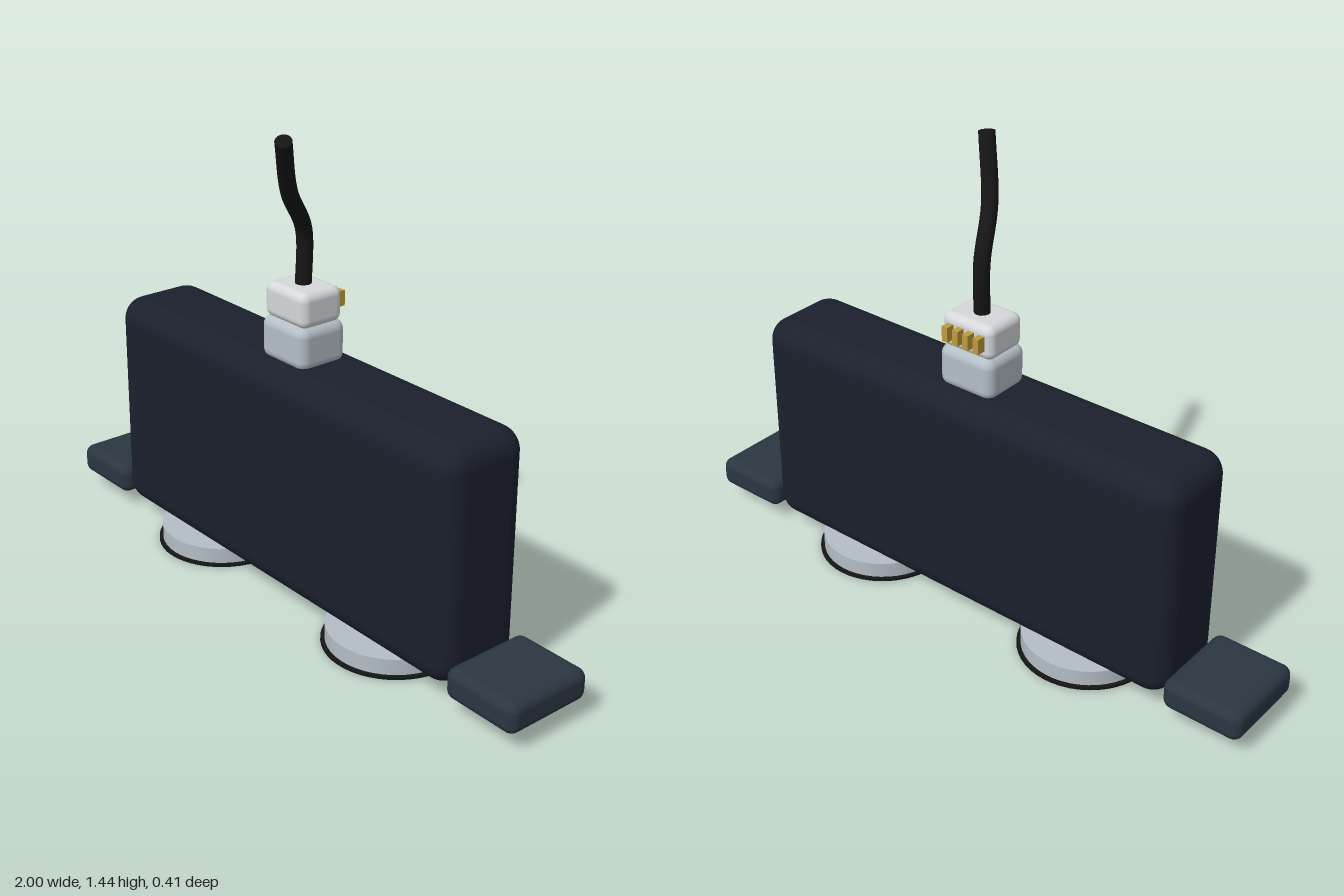
import * as THREE from 'three';
import { RoundedBoxGeometry } from 'three/addons/geometries/RoundedBoxGeometry.js';

const mat = (color) => new THREE.MeshStandardMaterial({ color });

export function createModel() {
  const model = new THREE.Group();
  const navy = mat(0x1b202d), slate = mat(0x2b3642), silver = mat(0xb4bec6);
  const white = mat(0xd5d7da), gold = mat(0xc09a3e), black = mat(0x151515);

  const add = (name, geometry, material, x, y, z) => {
    const mesh = new THREE.Mesh(geometry, material);
    mesh.name = name;
    mesh.position.set(x, y, z);
    model.add(mesh);
    return mesh;
  };
  const rounded = (w, h, d, r) => new RoundedBoxGeometry(w, h, d, 5, r);

  // Main housing
  add('housing', rounded(1.5, 0.7, 0.29, 0.07), navy, 0, 0.4, 0);

  // Mounting flanges and round magnets with rubber pads, mirrored
  for (const [side, s] of [['left', 1], ['right', -1]]) {
    add(side + 'Flange', rounded(0.25, 0.095, 0.29, 0.03), slate, s * 0.875, 0.0975, 0);
    add(side + 'Magnet', new THREE.CylinderGeometry(0.195, 0.195, 0.05, 48), silver, s * 0.4, 0.032, 0);
    add(side + 'Pad', new THREE.CylinderGeometry(0.207, 0.207, 0.008, 48), black, s * 0.4, 0.004, 0);
  }

  // Connector socket and plug
  add('socket', rounded(0.19, 0.13, 0.165, 0.03), silver, 0, 0.803, 0.002);
  add('plug', rounded(0.18, 0.105, 0.145, 0.025), white, 0, 0.915, 0.002);

  // Contact pins on the back of the plug
  for (let i = 0; i < 4; i++) {
    add('pin' + (i + 1), new THREE.BoxGeometry(0.02, 0.046, 0.04), gold, -0.057 + i * 0.037, 0.918, -0.077);
  }

  // Cable with closed ends
  const path = new THREE.CatmullRomCurve3([
    new THREE.Vector3(0, 0.95, 0.002),
    new THREE.Vector3(-0.003, 1.12, -0.003),
    new THREE.Vector3(0.042, 1.255, 0.085),
    new THREE.Vector3(0.118, 1.423, 0.165),
  ]);
  add('cable', new THREE.TubeGeometry(path, 32, 0.024, 12), black, 0, 0, 0);
  const cap = add('cableEnd', new THREE.CircleGeometry(0.024, 12), black, 0, 0, 0);
  cap.position.copy(path.getPoint(1));
  cap.quaternion.setFromUnitVectors(new THREE.Vector3(0, 0, 1), path.getTangent(1));
  cap.material.side = THREE.DoubleSide;

  return model;
}
